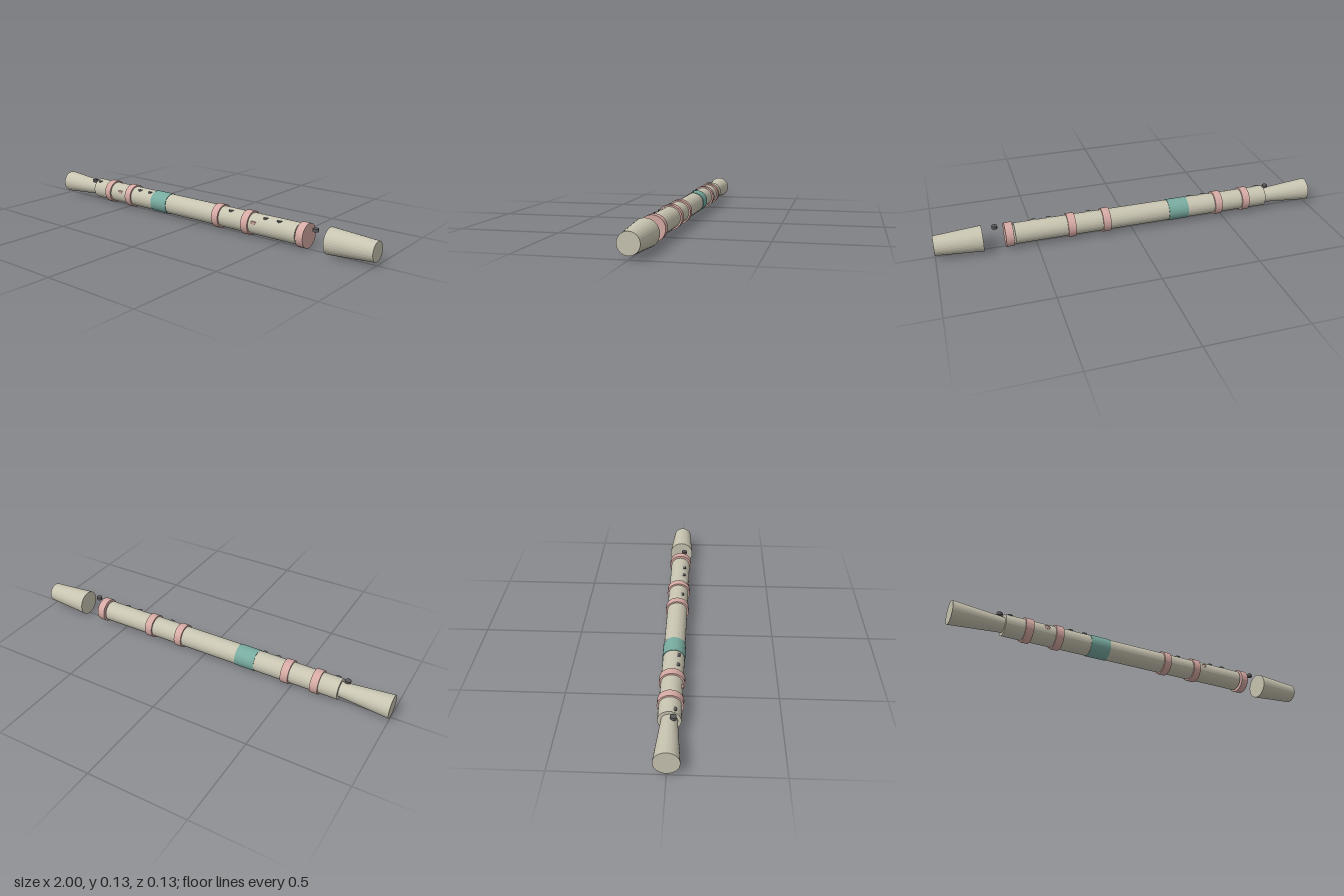
import * as THREE from 'three';

const AXIS_Y = 0.065;
const SIDES = 32;

const mat = (name, color) => {
  const m = new THREE.MeshStandardMaterial({ color });
  m.name = name;
  return m;
};

// Faceted cylinder
function faceted(rTop, rBottom, height, sides) {
  const g = new THREE.CylinderGeometry(rTop, rBottom, height, sides).toNonIndexed();
  g.computeVertexNormals();
  return g;
}

export function createModel() {
  const group = new THREE.Group();
  group.name = 'flute';
  const ivory = mat('ivory', 0xc8c4b1);
  const pink = mat('pink', 0xd6aaa4);
  const teal = mat('teal', 0x78aba0);
  const dark = mat('dark grey', 0x5a5a5a);

  // Section lying along x, from x0 (radius r0) to x1 (radius r1)
  function section(name, x0, x1, r0, r1, material) {
    const g = faceted(r1, r0, x1 - x0, SIDES).rotateZ(-Math.PI / 2);
    const mesh = new THREE.Mesh(g, material);
    mesh.name = name;
    mesh.position.set((x0 + x1) / 2, AXIS_Y, 0);
    group.add(mesh);
  }

  // Upright disc set into the front of the tube
  function button(name, x, y, z, r, h, material) {
    const mesh = new THREE.Mesh(faceted(r, r, h, 16), material);
    mesh.name = name;
    mesh.position.set(x, y, z);
    group.add(mesh);
  }

  // Tube and flared ends
  section('body', -0.745, 0.607, 0.053, 0.053, ivory);
  section('flaredMouth', -1, -0.74, 0.058, 0.037, ivory);
  section('detachedBell', 0.765, 1, 0.065, 0.049, ivory);

  // Bands
  section('gripBand', -0.302, -0.196, 0.0555, 0.0555, teal);
  for (const x of [-0.628, -0.472, 0.14, 0.322, 0.635])
    section('ring', x - 0.02, x + 0.02, 0.061, 0.061, pink);

  // Finger holes, the outermost two sitting clear of the tube
  for (const x of [-0.77, -0.72, -0.405, -0.33, 0.22, 0.427, 0.505, 0.7])
    button('fingerHole', x, 0.107, 0.019, 0.0145, 0.015, dark);

  // Side keys
  for (const x of [-0.537, 0.372])
    button('sideKey', x, 0.082, 0.036, 0.0185, 0.016, pink);

  return group;
}
